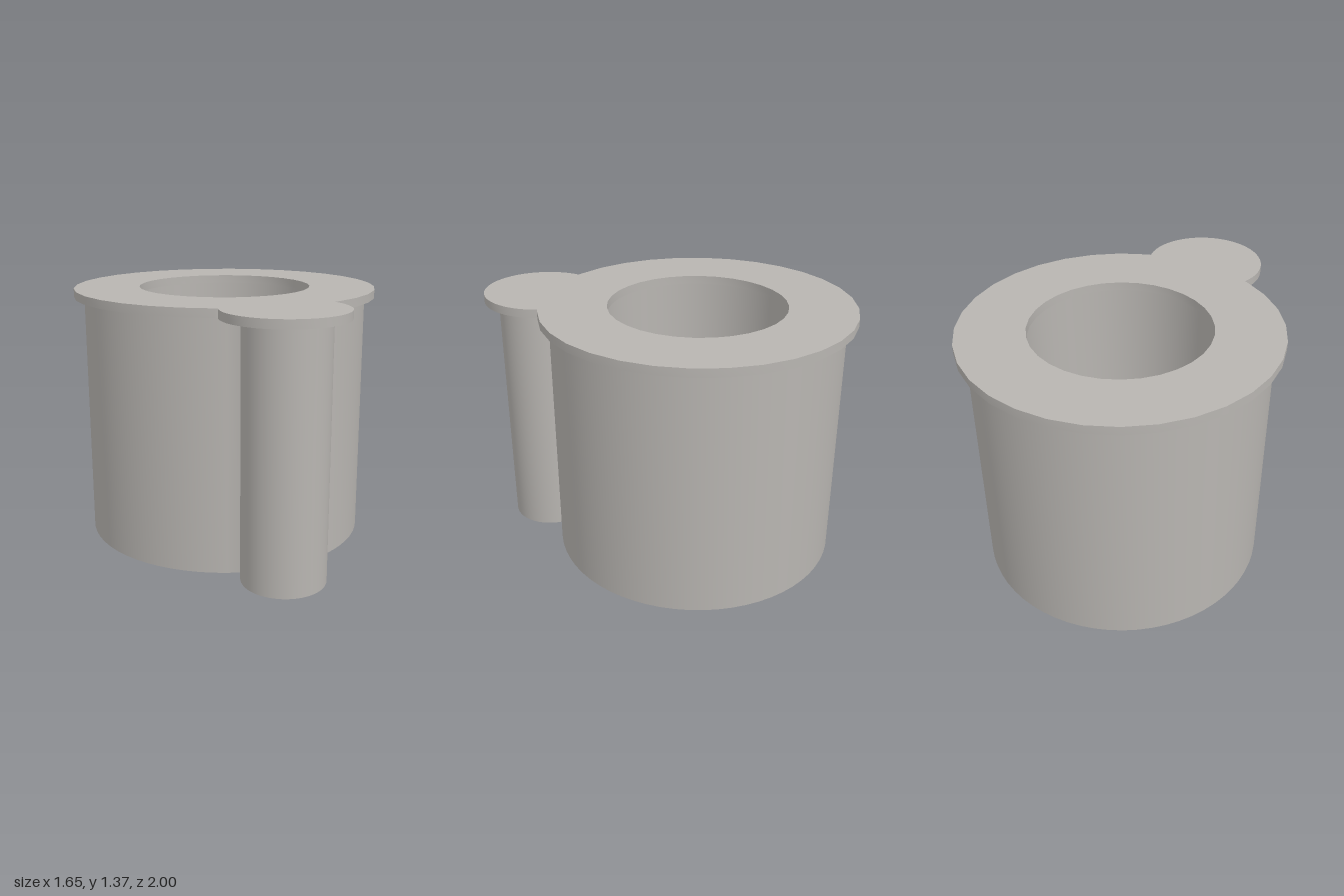
import * as THREE from 'three';
import { toCreasedNormals } from 'three/addons/utils/BufferGeometryUtils.js';

const RING_Z = -0.175; // centre of the round bore

// Points along an arc, counter-clockwise; the shape's y is -z of the model
function arc(cz, r, from, to, steps) {
  return Array.from({ length: steps + 1 }, (_, i) => {
    const a = from + ((to - from) * i) / steps;
    return new THREE.Vector2(r * Math.cos(a), -cz + r * Math.sin(a));
  });
}

// Upright extrusion: a bored disc joined to a round lug at the front.
// joinX is the half width where the disc and the lug meet.
function lobedRing({ r, bore, lugZ, lugR, joinX, steps, boreSteps, bottom, height }) {
  const half = Math.asin(joinX / r);
  const joinZ = RING_Z + Math.sqrt(r * r - joinX * joinX);
  const lugStart = Math.atan2(Math.max(0, lugZ - joinZ), joinX);
  const lug = arc(lugZ, lugR, Math.PI - lugStart, 2 * Math.PI + lugStart, 32);
  const disc = arc(RING_Z, r, -Math.PI / 2 + half, 1.5 * Math.PI - half, steps);
  // A straight neck forms where the lug's arc starts ahead of the disc
  const shape = new THREE.Shape([...lug, ...disc]);
  shape.holes.push(new THREE.Path(arc(RING_Z, bore, 0, 2 * Math.PI, boreSteps).slice(0, -1)));
  const geometry = new THREE.ExtrudeGeometry(shape, { depth: height, bevelEnabled: false, steps: 1 });
  geometry.rotateX(-Math.PI / 2);
  geometry.translate(0, bottom, 0);
  return toCreasedNormals(geometry, 0.4);
}

export function createModel() {
  const model = new THREE.Group();
  model.name = 'flangedBushing';
  const grey = new THREE.MeshStandardMaterial({ color: 0xb8b5b1 });
  grey.name = 'warm grey';

  const add = (name, options) => {
    const mesh = new THREE.Mesh(lobedRing(options), grey);
    mesh.name = name;
    model.add(mesh);
  };

  // Thick sleeve with the locating pin running down its front
  add('sleeveWithPin', {
    r: 0.77, bore: 0.5, lugZ: 0.71, lugR: 0.218, joinX: 0.172,
    steps: 60, boreSteps: 64, bottom: 0, height: 1.325,
  });

  // Thin top flange, overhanging the sleeve, the pin and the bore
  add('topFlange', {
    r: 0.825, bore: 0.47, lugZ: 0.685, lugR: 0.315, joinX: 0.315,
    steps: 28, boreSteps: 32, bottom: 1.325, height: 0.045,
  });

  return model;
}
